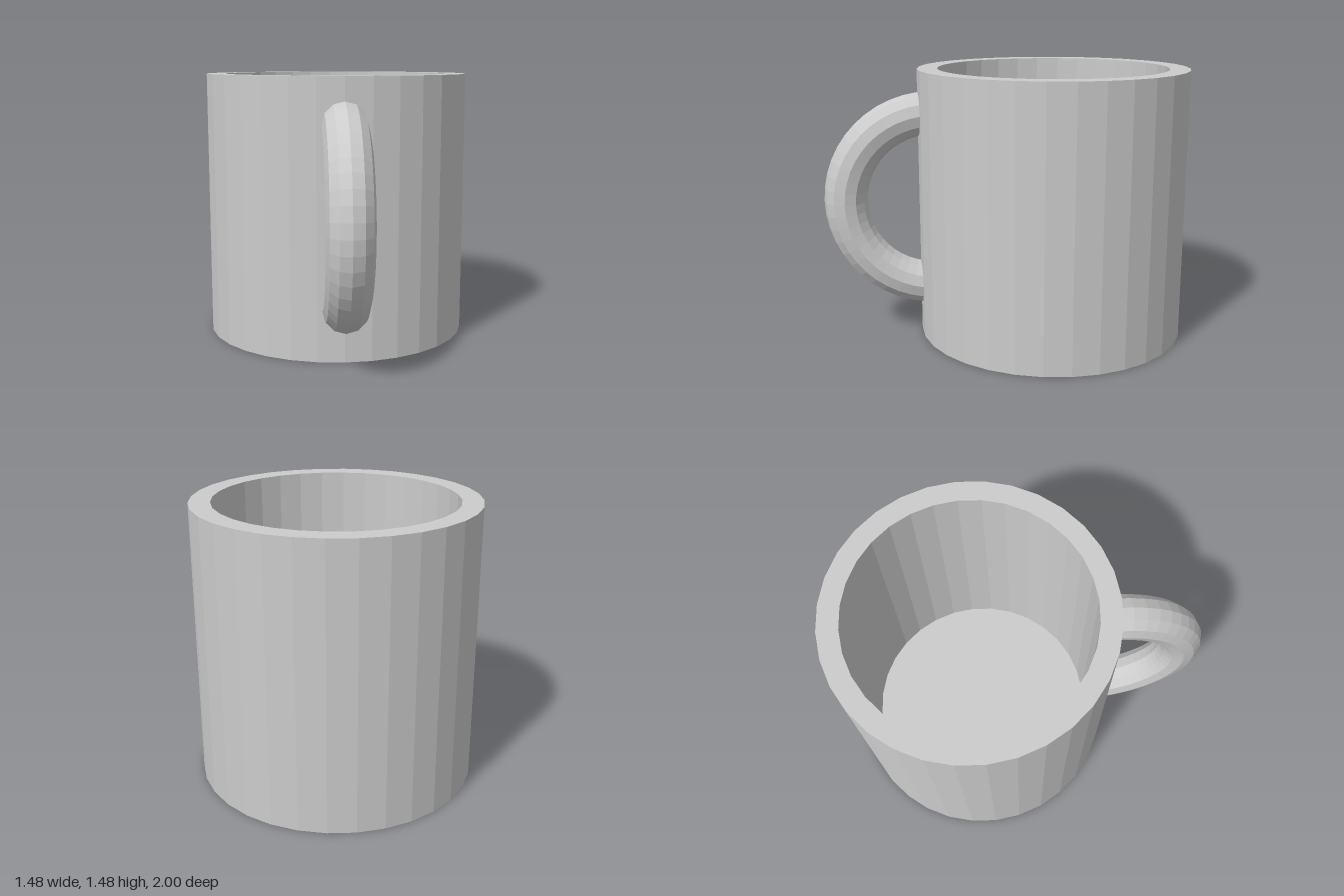
import * as THREE from 'three';

export function createModel() {
  const group = new THREE.Group();
  group.name = 'mug';
  const material = new THREE.MeshStandardMaterial({ color: 0xcccccc, flatShading: true });

  const outer = 0.74, inner = 0.63, height = 1.48, floor = 0.11;
  const centreZ = -0.26;

  // Hollow cup: one profile running under the base, up the wall and down inside
  const profile = [
    [0, 0], [outer, 0], [outer, height], [inner, height], [inner, floor], [0, floor],
  ].map(([r, y]) => new THREE.Vector2(r, y));
  const body = new THREE.Mesh(new THREE.LatheGeometry(profile, 32), material);
  body.name = 'cup';
  body.position.z = centreZ;
  group.add(body);

  // Handle: half ring facing +z, with its ends buried in the wall
  const ring = new THREE.TorusGeometry(0.482, 0.118, 12, 24, Math.PI);
  ring.rotateZ(-Math.PI / 2);
  ring.rotateY(-Math.PI / 2);
  const handle = new THREE.Mesh(ring, material);
  handle.name = 'handle';
  handle.position.set(0, 0.76, 0.4);
  group.add(handle);

  return group;
}
